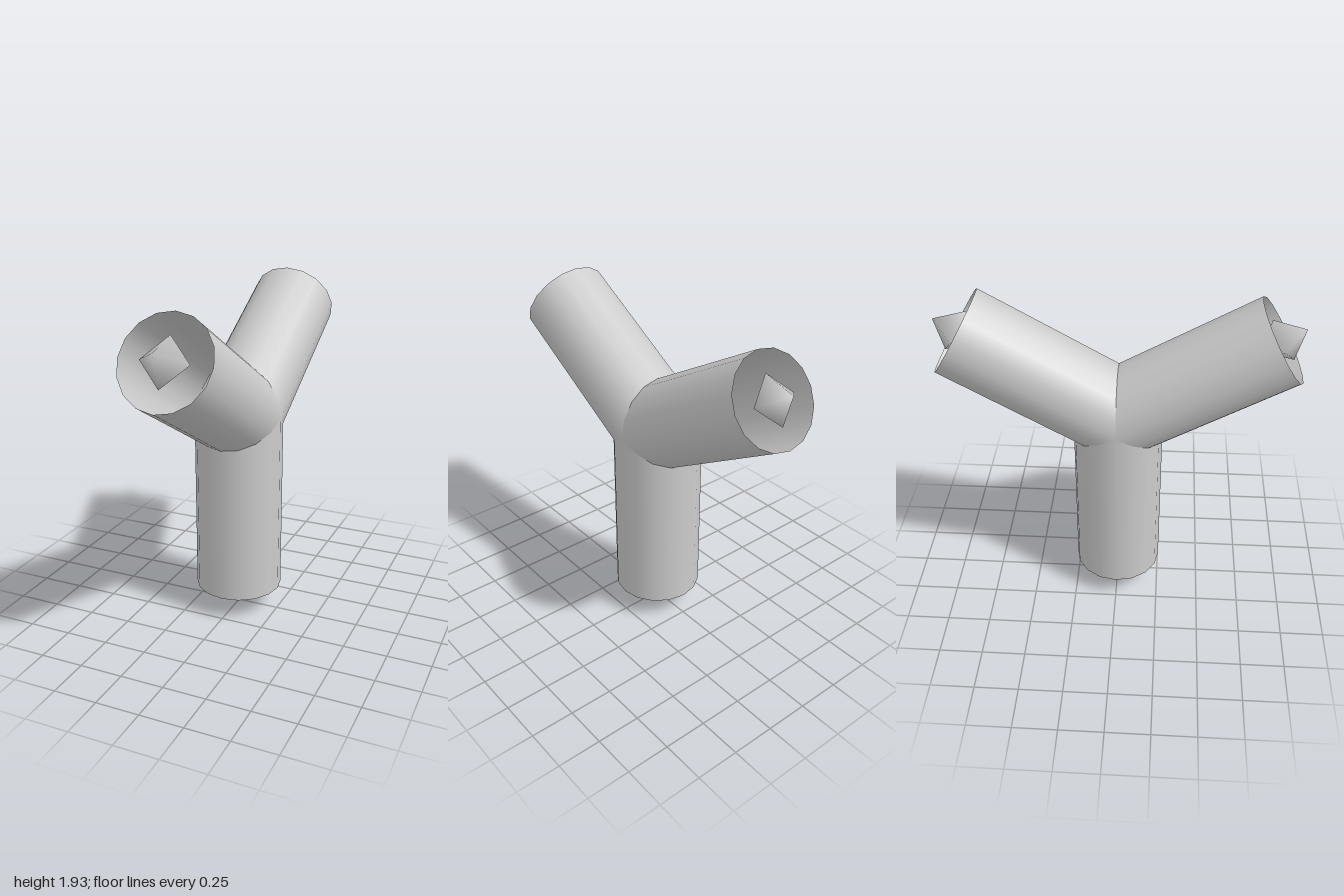
import * as THREE from 'three';

const RADIUS = 0.254;
const HUB_Y = 1.208;
const GEM_RADIUS = 0.136;

const tubeMaterial = new THREE.MeshStandardMaterial({ color: 0xcccccc, side: THREE.DoubleSide });
const gemMaterial = new THREE.MeshStandardMaterial({ color: 0xcccccc });

// Open tube along +y whose inner end is mitred to meet two neighbours at 120 degrees
function mitredTube(length) {
  const geometry = new THREE.CylinderGeometry(RADIUS, RADIUS, length, 16, 1, true);
  geometry.translate(0, length / 2, 0);
  const p = geometry.attributes.position;
  for (let i = 0; i < p.count; i++) {
    if (p.getY(i) < length / 2) p.setY(i, Math.abs(p.getZ(i)) / Math.sqrt(3));
  }
  return geometry;
}

// One tube with a diamond-shaped gem centred in its open mouth
function createBranch(name, length, angle) {
  const branch = new THREE.Group();
  branch.name = name;
  const tube = new THREE.Mesh(mitredTube(length), tubeMaterial);
  tube.name = name + 'Tube';
  const gem = new THREE.Mesh(new THREE.SphereGeometry(GEM_RADIUS, 4, 2), gemMaterial);
  gem.name = name + 'Gem';
  gem.position.y = length;
  branch.add(tube, gem);
  branch.position.y = HUB_Y;
  branch.rotation.x = angle;
  return branch;
}

export function createModel() {
  const model = new THREE.Group();
  model.name = 'branchingPipe';
  model.add(
    createBranch('lowerBranch', HUB_Y - GEM_RADIUS, Math.PI),
    createBranch('frontBranch', 1.008, Math.PI / 3),
    createBranch('backBranch', 1.008, -Math.PI / 3)
  );
  return model;
}
